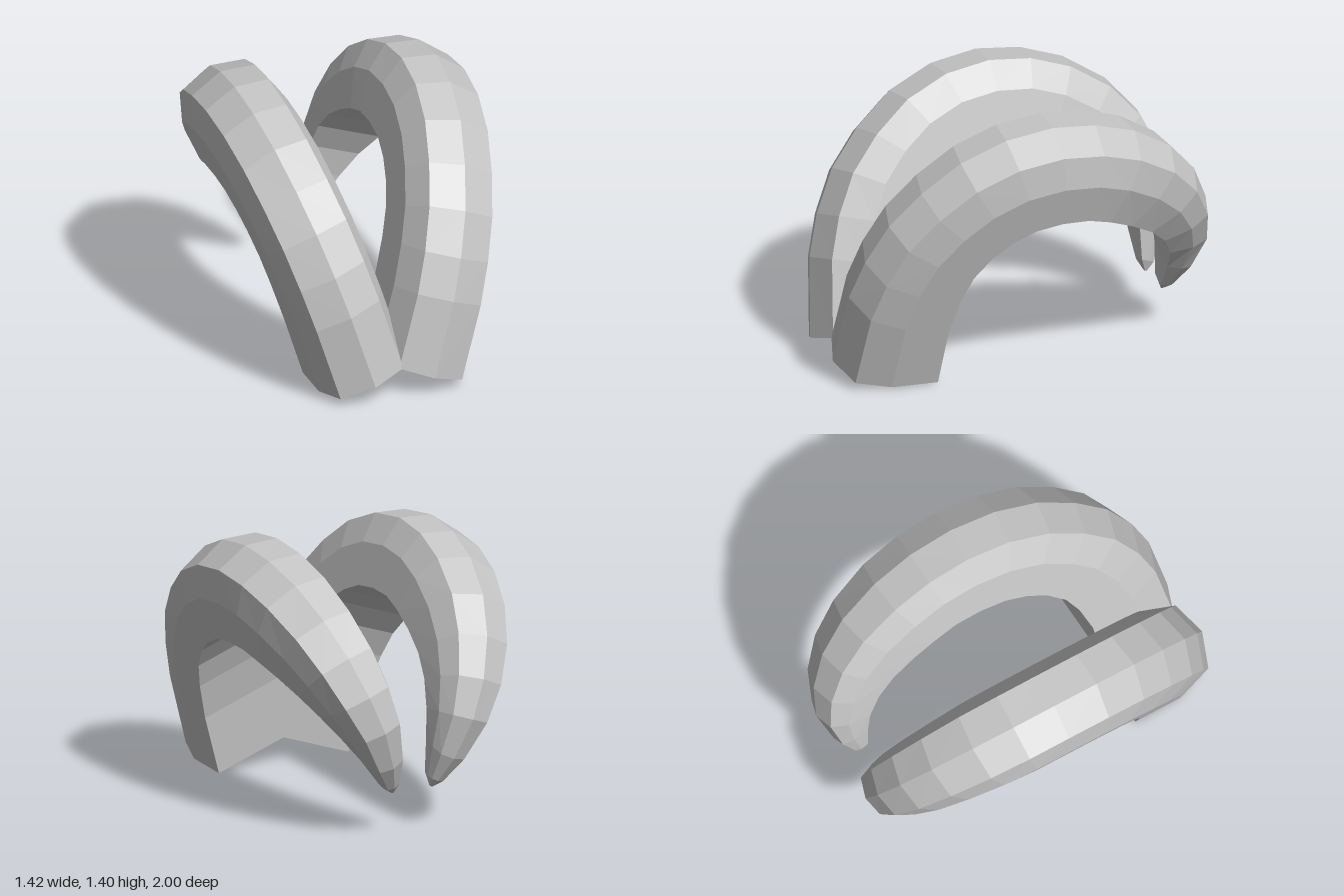
import * as THREE from 'three';

// Each horn is swept in a plane leaning outwards; sections are rolled slightly further.
const LEAN_X = 0.287, LEAN_Y = 0.958, ROLL = 0.05;

// Stations from root to tip:
// outer ridge (z, height), inner edge (z, height), sideways centre, half width.
const stations = [
  [1.0, 0.143, 0.51, 0.117, 0.124, 0.24],
  [0.958, 0.555, 0.487, 0.445, 0.124, 0.24],
  [0.894, 0.771, 0.44, 0.645, 0.124, 0.24],
  [0.787, 0.99, 0.385, 0.78, 0.124, 0.24],
  [0.63, 1.177, 0.294, 0.895, 0.124, 0.24],
  [0.434, 1.341, 0.193, 0.973, 0.124, 0.24],
  [0.198, 1.447, 0.07, 1.03, 0.124, 0.24],
  [-0.054, 1.485, -0.07, 1.052, 0.124, 0.24],
  [-0.29, 1.459, -0.214, 1.047, 0.124, 0.24],
  [-0.514, 1.38, -0.337, 1.007, 0.121, 0.235],
  [-0.728, 1.237, -0.47, 0.94, 0.116, 0.219],
  [-0.878, 1.055, -0.6, 0.853, 0.108, 0.2],
  [-0.969, 0.846, -0.696, 0.746, 0.095, 0.175],
  [-0.997, 0.636, -0.76, 0.61, 0.077, 0.14],
  [-0.94, 0.41, -0.78, 0.465, 0.062, 0.095],
  [-0.862, 0.27, -0.787, 0.295, 0.052, 0.045],
  [-0.82, 0.23, -0.81, 0.232, 0.048, 0.008],
];

// Seven-sided section: (sideways share of half width, share of depth below the ridge).
const section = [[0, 0], [0.75, 0.12], [1, 0.485], [1, 1], [-1, 1], [-1, 0.485], [-0.75, 0.12]];

function hornGeometry(side) {
  const positions = [];
  const index = [];
  const n = section.length;
  const last = (stations.length - 1) * n;
  const tri = (a, b, c) => (side > 0 ? index.push(a, b, c) : index.push(a, c, b));

  for (const [zr, vr, zi, vi, centre, half] of stations) {
    for (const [across, depth] of section) {
      const out = centre + across * half;
      const v = vr + (vi - vr) * depth - ROLL * across * half;
      const z = zr + (zi - zr) * depth;
      positions.push(side * (LEAN_Y * out + LEAN_X * v), LEAN_Y * v - LEAN_X * out, z);
    }
  }
  // Skin between neighbouring stations
  for (let i = 0; i < stations.length - 1; i++) {
    for (let j = 0; j < n; j++) {
      const k = (j + 1) % n;
      const a = i * n + j, b = i * n + k;
      tri(a, b, b + n);
      tri(a, b + n, a + n);
    }
  }
  // Tip cap; the root stays open
  for (let j = 1; j < n - 1; j++) tri(last, last + j, last + j + 1);

  const indexed = new THREE.BufferGeometry();
  indexed.setAttribute('position', new THREE.Float32BufferAttribute(positions, 3));
  indexed.setIndex(index);
  const geometry = indexed.toNonIndexed();
  geometry.computeVertexNormals();
  return geometry;
}

export function createModel() {
  const model = new THREE.Group();
  model.name = 'hornPair';
  const hornGrey = new THREE.MeshStandardMaterial({ color: 0xc4c4c4 });
  hornGrey.name = 'hornGrey';
  hornGrey.flatShading = true;
  hornGrey.side = THREE.DoubleSide;

  for (const [side, name] of [[1, 'leftHorn'], [-1, 'rightHorn']]) {
    const horn = new THREE.Mesh(hornGeometry(side), hornGrey);
    horn.name = name;
    model.add(horn);
  }
  return model;
}
